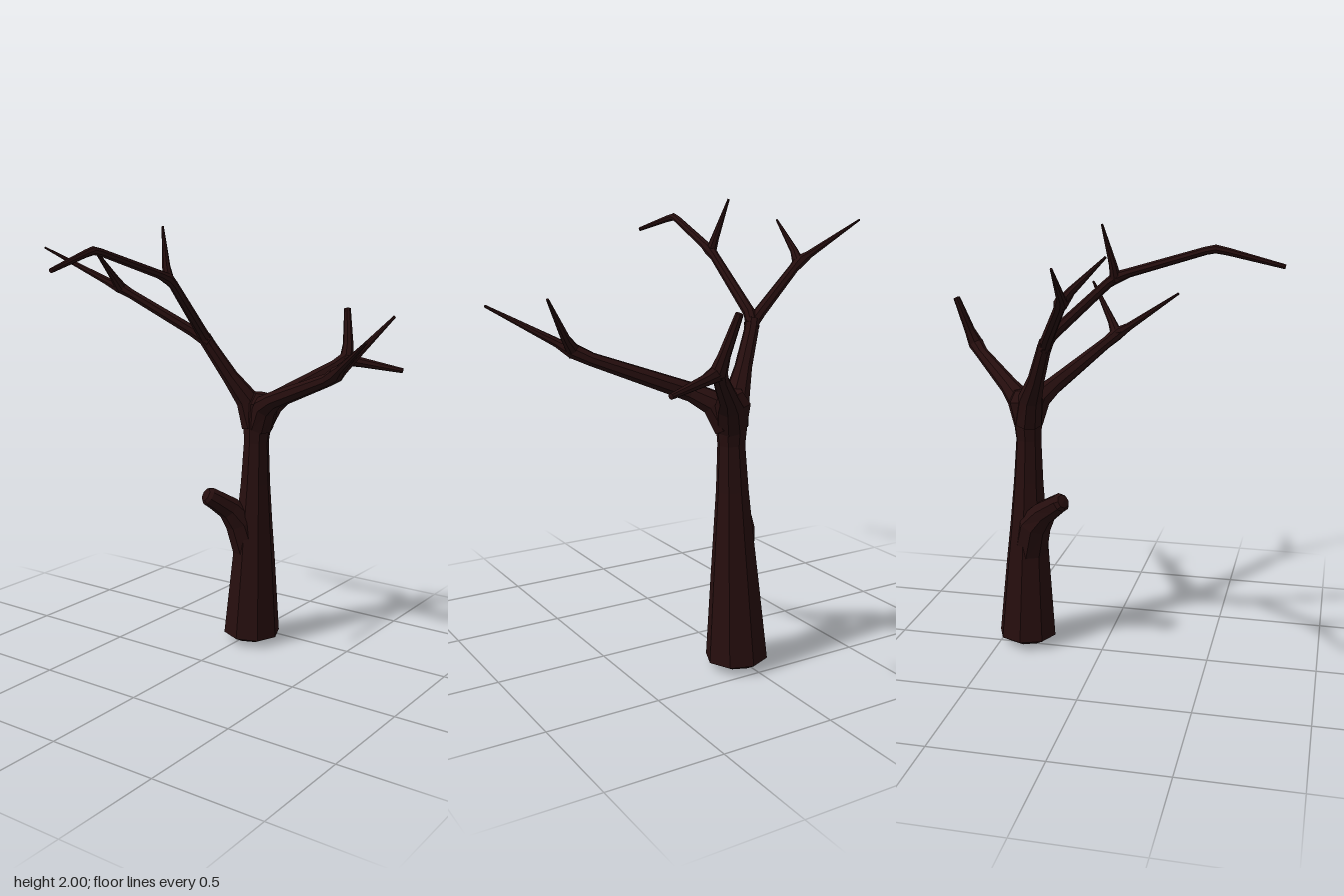
import * as THREE from 'three';

const SIDES = 8;

// Eight-sided limb lofted along rows of [x, y, z, radius], closed by shallow domes
function limbGeometry(rows) {
  const points = rows.map(([x, y, z]) => new THREE.Vector3(x, y, z));
  const last = rows.length - 1;
  const positions = [];
  const index = [];
  const tangent = new THREE.Vector3();
  const normal = new THREE.Vector3(1, 0, 0);
  const side = new THREE.Vector3();
  const p = new THREE.Vector3();

  rows.forEach((row, i) => {
    const next = points[Math.min(i + 1, last)];
    const prev = points[Math.max(i - 1, 0)];
    tangent.copy(next).sub(prev).normalize();
    // carry the ring's direction along the path without twisting
    normal.addScaledVector(tangent, -normal.dot(tangent)).normalize();
    side.crossVectors(tangent, normal);
    for (let j = 0; j < SIDES; j++) {
      const a = (j / SIDES) * Math.PI * 2;
      p.copy(points[i])
        .addScaledVector(normal, Math.cos(a) * row[3])
        .addScaledVector(side, Math.sin(a) * row[3]);
      positions.push(p.x, p.y, p.z);
    }
  });

  for (let i = 0; i < last; i++) {
    for (let j = 0; j < SIDES; j++) {
      const k = (j + 1) % SIDES;
      const a = i * SIDES + j, b = i * SIDES + k;
      index.push(a, b, b + SIDES, a, b + SIDES, a + SIDES);
    }
  }

  // end caps
  const cap = (i, neighbour, flip) => {
    const out = points[i].clone().sub(points[neighbour]).normalize();
    p.copy(points[i]).addScaledVector(out, rows[i][3] * 0.14);
    const centre = positions.length / 3;
    positions.push(p.x, p.y, p.z);
    for (let j = 0; j < SIDES; j++) {
      const a = i * SIDES + j, b = i * SIDES + ((j + 1) % SIDES);
      if (flip) index.push(centre, b, a);
      else index.push(centre, a, b);
    }
  };
  cap(0, 1, true);
  cap(last, last - 1, false);

  const geometry = new THREE.BufferGeometry();
  geometry.setAttribute('position', new THREE.Float32BufferAttribute(positions, 3));
  geometry.setIndex(index);
  geometry.computeVertexNormals();
  return geometry;
}

export function createModel() {
  const tree = new THREE.Group();
  tree.name = 'bareTree';
  const bark = new THREE.MeshStandardMaterial({ color: 0x260e0e, flatShading: true });
  bark.name = 'darkBark';

  const limbs = {
    // tapering trunk swelling at the fork
    trunk: [
      [0.375, 0.012, 0.035, 0.085], [0.375, 0.04, 0.035, 0.137], [0.37, 0.4, 0.045, 0.106],
      [0.366, 0.6, 0.05, 0.088], [0.364, 0.8, 0.055, 0.071], [0.361, 1.0, 0.06, 0.06],
      [0.365, 1.1, 0.062, 0.069], [0.375, 1.18, 0.07, 0.082], [0.38, 1.23, 0.075, 0.05],
    ],
    // broken stub low on the trunk
    stub: [
      [0.355, 0.46, 0.03, 0.08], [0.32, 0.61, 0.0, 0.077], [0.265, 0.68, -0.03, 0.058],
      [0.2, 0.73, -0.065, 0.048], [0.172, 0.751, -0.083, 0.045], [0.16, 0.759, -0.09, 0.032],
    ],
    // left front branch
    leftBranch: [
      [0.37, 1.08, 0.07, 0.064], [0.42, 1.18, 0.11, 0.058], [0.48, 1.225, 0.155, 0.043],
      [0.66, 1.345, 0.305, 0.031], [0.705, 1.385, 0.345, 0.036], [0.73, 1.45, 0.335, 0.025],
      [0.778, 1.61, 0.3, 0.016],
    ],
    leftTwig: [
      [0.695, 1.38, 0.34, 0.035], [0.725, 1.365, 0.41, 0.024], [0.788, 1.333, 0.598, 0.012],
    ],
    // long front branch
    frontBranch: [
      [0.36, 1.08, 0.08, 0.064], [0.33, 1.18, 0.13, 0.058], [0.28, 1.225, 0.21, 0.042],
      [0.11, 1.37, 0.58, 0.029], [0.07, 1.405, 0.645, 0.033], [0.02, 1.435, 0.69, 0.02],
      [-0.195, 1.578, 0.915, 0.006],
    ],
    frontTwig: [
      [0.065, 1.395, 0.635, 0.032], [0.105, 1.46, 0.69, 0.02], [0.23, 1.64, 0.82, 0.006],
    ],
    // rear bough that splits in two
    rearBough: [
      [0.36, 1.08, 0.05, 0.064], [0.34, 1.2, 0.02, 0.055], [0.29, 1.31, -0.045, 0.038],
      [0.235, 1.45, -0.12, 0.032], [0.215, 1.495, -0.14, 0.032],
    ],
    rightBranch: [
      [0.235, 1.46, -0.13, 0.03], [0.19, 1.525, -0.14, 0.026], [-0.05, 1.75, -0.115, 0.021],
      [-0.09, 1.778, -0.113, 0.026], [-0.14, 1.797, -0.118, 0.02], [-0.47, 1.9, -0.165, 0.017],
      [-0.51, 1.908, -0.17, 0.018], [-0.56, 1.898, -0.165, 0.016], [-0.79, 1.84, -0.14, 0.01],
    ],
    rightTwig: [
      [-0.085, 1.765, -0.113, 0.026], [-0.077, 1.83, -0.133, 0.018], [-0.04, 2.0, -0.18, 0.005],
    ],
    backBranch: [
      [0.225, 1.47, -0.12, 0.03], [0.195, 1.52, -0.19, 0.027], [0.07, 1.69, -0.46, 0.023],
      [0.05, 1.72, -0.51, 0.029], [0.035, 1.745, -0.57, 0.019], [-0.022, 1.895, -0.912, 0.005],
    ],
    backTwig: [
      [0.055, 1.71, -0.5, 0.028], [0.01, 1.765, -0.507, 0.018], [-0.128, 1.9, -0.505, 0.005],
    ],
  };

  for (const [name, rows] of Object.entries(limbs)) {
    const mesh = new THREE.Mesh(limbGeometry(rows), bark);
    mesh.name = name;
    tree.add(mesh);
  }
  return tree;
}
